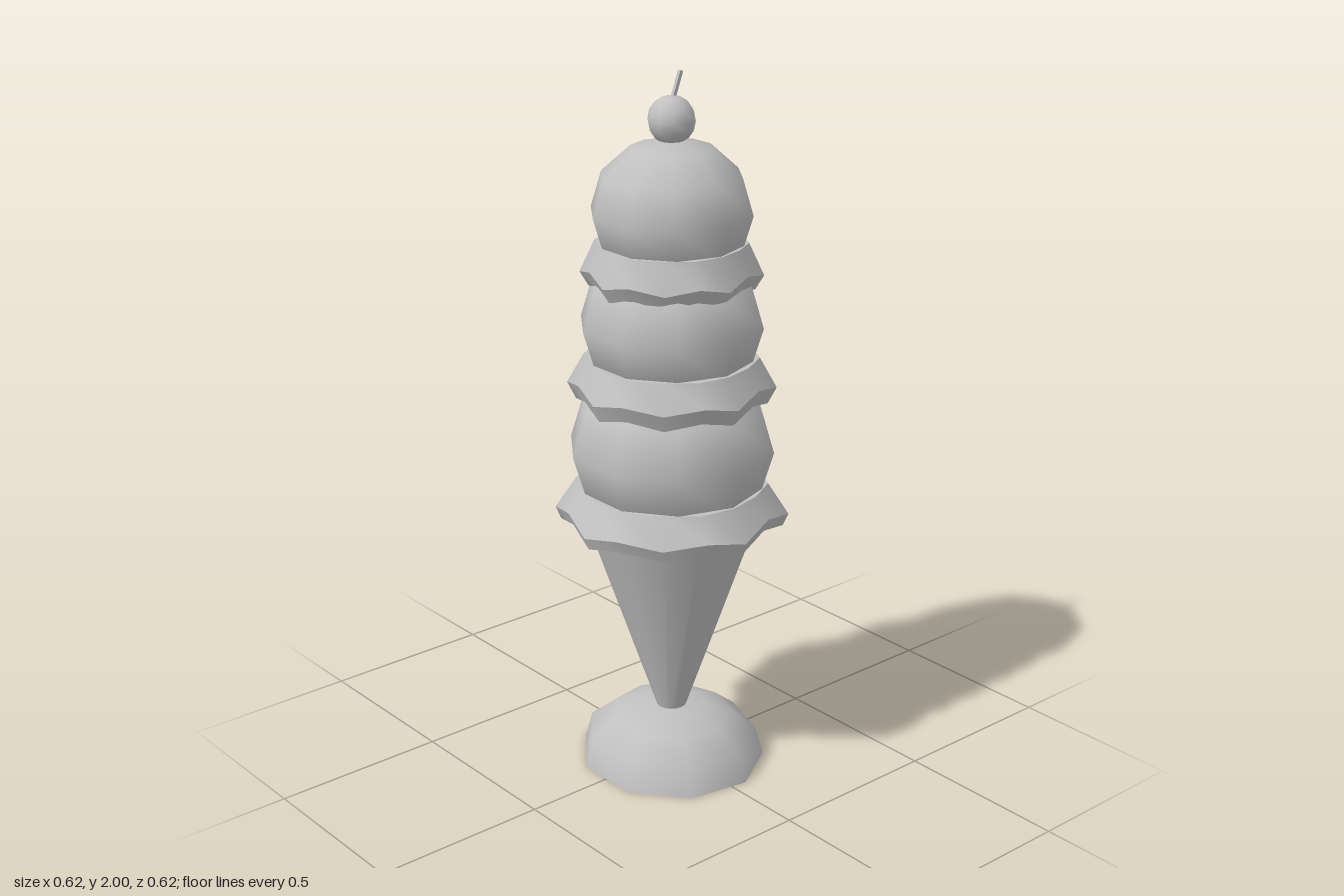
import * as THREE from 'three';
import { mergeVertices } from 'three/addons/utils/BufferGeometryUtils.js';

export function createModel() {
  const model = new THREE.Group();
  model.name = 'iceCreamSundae';
  const grey = new THREE.MeshStandardMaterial({ color: 0xc0c0c0, side: THREE.DoubleSide });
  grey.name = 'plain grey';

  const add = (parent, name, geometry, x = 0, y = 0, z = 0) => {
    const mesh = new THREE.Mesh(geometry, grey);
    mesh.name = name;
    mesh.position.set(x, y, z);
    parent.add(mesh);
    return mesh;
  };

  // Lathe whose seam is welded, with an optional rule that moves each vertex
  const lathe = (profile, sides, start = 0, move = null) => {
    let g = new THREE.LatheGeometry(profile.map(p => new THREE.Vector2(p[0], p[1])), sides, start);
    if (move) move(g.attributes.position);
    g.deleteAttribute('uv');
    g.deleteAttribute('normal');
    g = mergeVertices(g, 1e-5);
    g.computeVertexNormals();
    return g;
  };

  // Domed foot: nine sides, with a flat underside
  const foot = new THREE.Group();
  foot.name = 'foot';
  model.add(foot);
  add(foot, 'footDome', lathe([[0.265, 0], [0.243, 0.08], [0.17, 0.137], [0.1, 0.16], [0.0001, 0.165]], 9, Math.PI / 2));
  add(foot, 'footUnderside', lathe([[0.0001, 0], [0.265, 0]], 9, Math.PI / 2));
  foot.scale.set(0.98, 1, 1.04);

  // Tapered cone
  add(model, 'cone', new THREE.CylinderGeometry(0.24, 0.04, 0.59, 16), 0, 0.45, 0);

  // Wavy skirt under each scoop; every band between two rings keeps a sharp edge
  const addRuffle = (name, rings) => {
    const ruffle = new THREE.Group();
    ruffle.name = name;
    model.add(ruffle);
    for (let i = 0; i < rings.length - 1; i++) {
      const band = [rings[i], rings[i + 1]];
      add(ruffle, 'ruffleBand', lathe(band, 16, 0, pos => {
        for (let k = 0; k < pos.count; k++) {
          const [r, y, waveR, waveY] = band[k % 2];
          const a = Math.atan2(pos.getZ(k), pos.getX(k));
          const radius = r - waveR * Math.sin(6 * a);
          pos.setXYZ(k, radius * Math.cos(a), y - waveY * Math.cos(8 * a), radius * Math.sin(a));
        }
      }));
    }
  };
  // Rings run upward: radius, height, radial wave, height wave
  addRuffle('lowerRuffle', [
    [0.2, 0.735, 0, 0], [0.295, 0.745, 0.016, 0.014], [0.309, 0.78, 0.017, 0.014],
    [0.262, 0.855, 0.006, 0], [0.2, 0.855, 0, 0]]);
  addRuffle('middleRuffle', [
    [0.17, 1.1, 0, 0], [0.253, 1.103, 0.01, 0.012], [0.273, 1.15, 0.014, 0.012],
    [0.235, 1.222, 0.005, 0], [0.16, 1.222, 0, 0]]);
  addRuffle('upperRuffle', [
    [0.15, 1.42, 0, 0], [0.215, 1.425, 0.009, 0.011], [0.236, 1.465, 0.012, 0.011],
    [0.203, 1.543, 0.004, 0], [0.13, 1.543, 0, 0]]);

  // Three scoops, smaller towards the top
  const scoops = [['lowerScoop', 0.288, 0.963], ['middleScoop', 0.254, 1.317], ['upperScoop', 0.222, 1.625]];
  for (const [name, r, y] of scoops) {
    const scoop = add(model, name, new THREE.SphereGeometry(r, 10, 6), 0, y, 0);
    scoop.scale.y = 0.9;
    scoop.rotation.y = Math.PI / 2;
  }

  // Cherry with a leaning stem
  const cherry = add(model, 'cherry', new THREE.SphereGeometry(0.065, 10, 8), 0, 1.87, 0);
  cherry.rotation.y = Math.PI / 2;
  const stem = add(model, 'cherryStem', new THREE.BoxGeometry(0.01, 0.085, 0.01), 0.016, 1.956, 0);
  stem.rotation.z = -0.36;

  return model;
}
